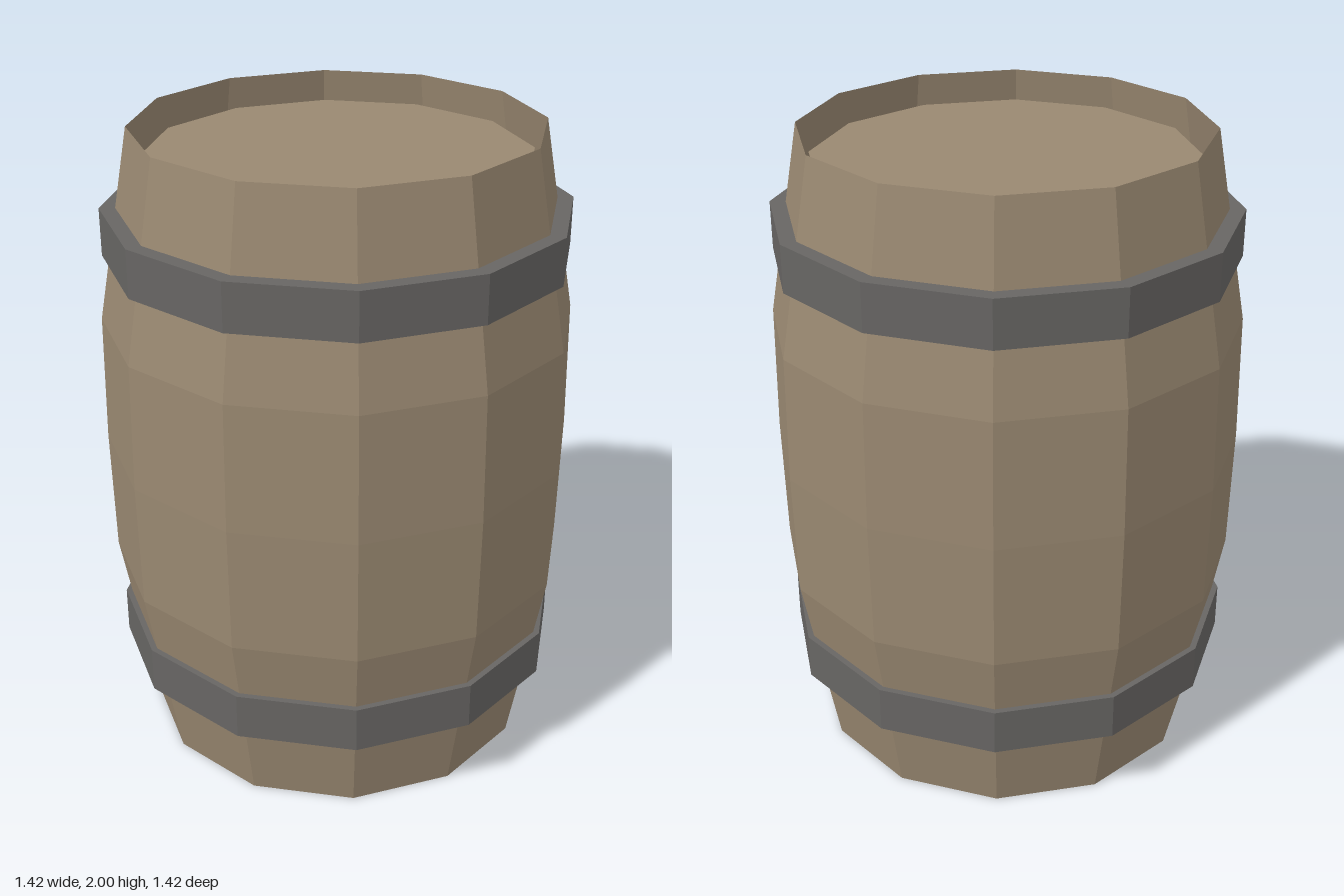
import * as THREE from 'three';

const SIDES = 12;
const TURN = Math.PI / SIDES; // half a side, so that a flat face points forward
const corner = (flat) => flat / Math.cos(TURN); // flat-face distance to corner radius

export function createModel() {
  const wood = new THREE.MeshStandardMaterial({ color: 0x998871, flatShading: true, side: THREE.DoubleSide });
  wood.name = 'wood';
  const iron = new THREE.MeshStandardMaterial({ color: 0x676563, flatShading: true });
  iron.name = 'iron';

  const barrel = new THREE.Group();
  barrel.name = 'barrel';
  const add = (name, geometry, material, y = 0) => {
    const mesh = new THREE.Mesh(geometry, material);
    mesh.name = name;
    mesh.position.y = y;
    barrel.add(mesh);
  };

  // Bulging stave wall, open at both ends
  const profile = [[0.6, 0], [0.704, 0.6], [0.711, 1], [0.704, 1.4], [0.6, 2]]
    .map(([flat, y]) => new THREE.Vector2(corner(flat), y));
  add('staves', new THREE.LatheGeometry(profile, SIDES, TURN), wood);

  // Lid set a little below the rim
  const lid = new THREE.CircleGeometry(corner(0.567), SIDES, TURN).rotateX(-Math.PI / 2);
  add('lid', lid, wood, 1.91);

  // Solid hoops, which also close the barrel inside
  for (const [name, y] of [['lowerHoop', 0.338], ['upperHoop', 1.68]]) {
    const r = corner(0.69);
    add(name, new THREE.CylinderGeometry(r, r, 0.148, SIDES, 1, false, TURN), iron, y);
  }
  return barrel;
}
